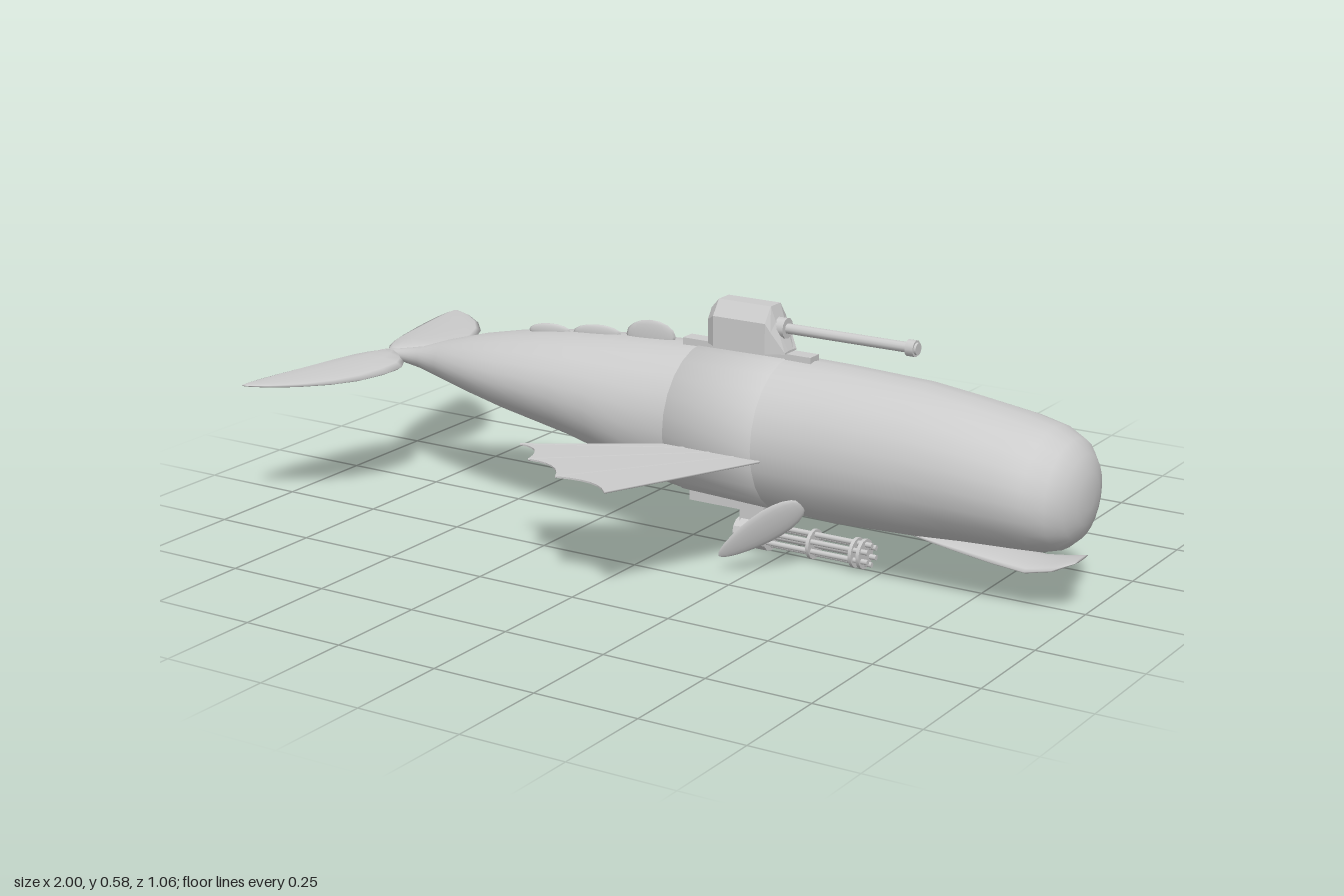
import * as THREE from 'three';

const grey = new THREE.MeshStandardMaterial({ color: 0xcccccc });
const greyFlat = new THREE.MeshStandardMaterial({ color: 0xcccccc, flatShading: true });
const greyThin = new THREE.MeshStandardMaterial({ color: 0xcccccc, side: THREE.DoubleSide });

// Skin a row of closed rings (arrays of [x, y, z]) and cap both ends
function loft(rings) {
  const n = rings[0].length, m = rings.length, pos = [], idx = [];
  rings.forEach(r => r.forEach(p => pos.push(...p)));
  for (let i = 0; i < m - 1; i++) for (let j = 0; j < n; j++) {
    const k = (j + 1) % n, a = i * n + j, b = i * n + k, c = b + n, d = a + n;
    idx.push(a, b, c, a, c, d);
  }
  [0, m - 1].forEach((row, end) => {
    const centre = pos.length / 3;
    pos.push(...[0, 1, 2].map(q => rings[row].reduce((s, p) => s + p[q], 0) / n));
    for (let j = 0; j < n; j++) {
      const a = row * n + j, b = row * n + (j + 1) % n;
      idx.push(centre, end ? a : b, end ? b : a);
    }
  });
  const g = new THREE.BufferGeometry();
  g.setAttribute('position', new THREE.Float32BufferAttribute(pos, 3));
  g.setIndex(idx);
  g.computeVertexNormals();
  return g;
}

// Elliptical ring across x, from [x, top, bottom, halfWidth]
function ring([x, top, bottom, w], sides, grow = 0) {
  return Array.from({ length: sides }, (_, j) => {
    const t = j / sides * Math.PI * 2;
    return [x, (top + bottom) / 2 + ((top - bottom) / 2 + grow) * Math.cos(t), (w + grow) * Math.sin(t)];
  });
}

// Copy of a geometry reflected to the other side, with its faces turned back out
function mirrorZ(geometry) {
  const g = geometry.clone().scale(1, 1, -1);
  const count = g.attributes.position.count;
  const idx = g.index ? Array.from(g.index.array) : Array.from({ length: count }, (_, i) => i);
  for (let i = 0; i < idx.length; i += 3) [idx[i], idx[i + 1]] = [idx[i + 1], idx[i]];
  g.setIndex(idx);
  return g;
}

export function createModel() {
  const model = new THREE.Group();
  model.name = 'armedWhale';

  function add(name, geometry, material = grey, x = 0, y = 0, z = 0) {
    const mesh = new THREE.Mesh(geometry, material);
    mesh.name = name;
    mesh.position.set(x, y, z);
    model.add(mesh);
    return mesh;
  }
  function addPair(name, geometry, material) {
    add('left' + name, mirrorZ(geometry), material);
    add('right' + name, geometry, material);
  }
  // Cylinder lying along x between two x positions
  function rod(name, x0, x1, y, z, r, sides = 12, material = grey) {
    const g = new THREE.CylinderGeometry(r, r, x1 - x0, sides).rotateZ(-Math.PI / 2);
    return add(name, g, material, (x0 + x1) / 2, y, z);
  }

  // Body: tail stock to blunt head
  const body = [
    [-0.91, 0.318, 0.304, 0.008], [-0.85, 0.328, 0.299, 0.018], [-0.78, 0.343, 0.289, 0.028],
    [-0.7, 0.372, 0.275, 0.064], [-0.6, 0.4, 0.256, 0.103], [-0.5, 0.421, 0.237, 0.13],
    [-0.4, 0.437, 0.22, 0.146], [-0.3, 0.448, 0.202, 0.157], [-0.2, 0.456, 0.176, 0.164],
    [-0.1, 0.462, 0.142, 0.169], [0.02, 0.467, 0.122, 0.171], [0.26, 0.469, 0.114, 0.171],
    [0.4, 0.467, 0.107, 0.17], [0.6, 0.459, 0.115, 0.169], [0.72, 0.444, 0.124, 0.169],
    [0.84, 0.426, 0.13, 0.168], [0.91, 0.41, 0.134, 0.16], [0.955, 0.388, 0.146, 0.137],
    [0.982, 0.358, 0.17, 0.1], [0.996, 0.32, 0.205, 0.058], [1, 0.288, 0.238, 0.024],
  ];
  add('body', loft(body.map(r => ring(r, 24))));

  // Slightly raised plate around the middle of the body
  add('bodyBand', loft([[0.025, 0.467, 0.122, 0.171], [0.255, 0.469, 0.114, 0.171]]
    .map(r => ring(r, 24, 0.002))));

  // Lower jaw
  add('lowerJaw', loft([
    [0.58, 0.118, 0.11, 0.022], [0.64, 0.117, 0.106, 0.04], [0.72, 0.114, 0.098, 0.052],
    [0.8, 0.11, 0.09, 0.061], [0.88, 0.106, 0.084, 0.065], [0.94, 0.116, 0.097, 0.056],
    [0.985, 0.128, 0.121, 0.034],
  ].map(r => ring(r, 12))));

  // Tail flukes: [z, rear x, front x, half thickness]
  const fluke = [
    [0.008, -0.895, -0.85, 0.012], [0.05, -0.922, -0.8, 0.017], [0.09, -0.94, -0.776, 0.017],
    [0.15, -0.957, -0.773, 0.015], [0.225, -0.974, -0.785, 0.012], [0.29, -0.987, -0.818, 0.009],
    [0.35, -0.996, -0.87, 0.006], [0.395, -1, -0.93, 0.004], [0.418, -0.998, -0.98, 0.002],
  ];
  addPair('Fluke', loft(fluke.map(([z, rear, front, h]) =>
    Array.from({ length: 10 }, (_, j) => {
      const t = j / 10 * Math.PI * 2;
      return [(rear + front) / 2 + (front - rear) / 2 * Math.cos(t), 0.313 + h * Math.sin(t), z];
    }))));

  // Webbed side fins with scalloped edges and thin ribs
  const tips = [[0.107, 0.53], [-0.043, 0.497], [-0.166, 0.425], [-0.246, 0.342]];
  const web = new THREE.Shape();
  web.moveTo(0.29, 0.14);
  web.lineTo(...tips[0]);
  for (let i = 1; i < tips.length; i++) {
    const [a, b] = [tips[i - 1], tips[i]];
    web.quadraticCurveTo((a[0] + b[0]) / 2 + 0.025, (a[1] + b[1]) / 2 - 0.045, ...b);
  }
  web.quadraticCurveTo(-0.17, 0.29, 0.04, 0.16);
  web.lineTo(0.06, 0.14);
  const webGeometry = new THREE.ExtrudeGeometry(web, { depth: 0.004, bevelEnabled: false, curveSegments: 6 })
    .rotateX(Math.PI / 2).translate(0, 0.272, 0);
  addPair('SideFin', webGeometry, greyThin);
  tips.forEach(([x, z], i) => {
    const path = new THREE.LineCurve3(
      new THREE.Vector3(0.28 - i * 0.06, 0.27, 0.16), new THREE.Vector3(x, 0.27, z));
    addPair('FinRib' + (i + 1), new THREE.TubeGeometry(path, 1, 0.0035, 6), grey);
  });

  // Leaf-shaped flippers under the belly, narrowing to the tip
  const along = new THREE.Vector3(-0.17, -0.13, 0.075).normalize();
  const across = new THREE.Vector3(-0.5, 0.6, 0.6);
  across.addScaledVector(along, -across.dot(along)).normalize();
  const normal = new THREE.Vector3().crossVectors(along, across);
  const leaf = new THREE.SphereGeometry(1, 16, 12).rotateZ(-Math.PI / 2);
  const lp = leaf.attributes.position;
  for (let i = 0; i < lp.count; i++) {
    const taper = 1 - 0.3 * lp.getX(i);
    lp.setXYZ(i, lp.getX(i) * 0.115, lp.getY(i) * 0.04 * taper, lp.getZ(i) * 0.009 * taper);
  }
  leaf.applyMatrix4(new THREE.Matrix4().makeBasis(along, across, normal)).translate(0.28, 0.11, 0.163);
  leaf.computeVertexNormals();
  addPair('Flipper', leaf);

  // Row of thin humps along the back
  [[-0.115, 0.466, 0.068, 0.037], [-0.265, 0.45, 0.068, 0.021], [-0.4, 0.437, 0.06, 0.018]]
    .forEach(([x, y, rx, ry], i) => {
      const hump = add('backHump' + (i + 1), new THREE.SphereGeometry(1, 14, 8), grey, x, y, 0);
      hump.scale.set(rx, ry, 0.007);
      hump.rotation.z = 0.08;
    });

  // Top gun: base plate, faceted turret and long barrel
  add('turretBase', new THREE.BoxGeometry(0.336, 0.024, 0.038), greyFlat, 0.152, 0.468, 0);
  const turretRing = (x, top, shoulder, w) => [
    [x, top, -w * 0.45], [x, top, w * 0.45], [x, shoulder, w],
    [x, 0.48, w], [x, 0.48, -w], [x, shoulder, -w],
  ];
  add('turret', loft([
    turretRing(0.058, 0.56, 0.535, 0.03), turretRing(0.082, 0.585, 0.55, 0.047),
    turretRing(0.218, 0.585, 0.55, 0.047), turretRing(0.23, 0.55, 0.53, 0.042),
    turretRing(0.258, 0.485, 0.483, 0.026),
  ]), greyFlat);
  rod('barrelCollar', 0.2, 0.25, 0.534, 0, 0.024);
  rod('barrel', 0.22, 0.57, 0.534, 0, 0.012);
  rod('muzzle', 0.555, 0.575, 0.534, 0, 0.019);
  rod('muzzleLip', 0.57, 0.58, 0.534, 0, 0.014);

  // Belly gun: mount, housing and a cluster of six barrels
  add('bellyMount', new THREE.BoxGeometry(0.2, 0.04, 0.034), greyFlat, 0.1, 0.112, 0);
  add('bellyGunNeck', new THREE.BoxGeometry(0.06, 0.05, 0.03), greyFlat, 0.165, 0.083, 0);
  rod('gunHousing', 0.14, 0.212, 0.038, 0, 0.037, 12, greyFlat);
  rod('gunHousingBack', 0.125, 0.15, 0.038, 0, 0.03, 12, greyFlat);
  for (let i = 0; i < 6; i++) {
    const t = i / 6 * Math.PI * 2;
    rod('gunBarrel' + (i + 1), 0.2, 0.475, 0.038 + 0.023 * Math.cos(t), 0.023 * Math.sin(t), 0.0065, 8);
  }
  rod('gunSpindle', 0.2, 0.45, 0.038, 0, 0.009, 8);
  [0.325, 0.435, 0.455].forEach((x, i) =>
    rod('barrelClamp' + (i + 1), x - 0.004, x + 0.004, 0.038, 0, 0.035, 16));

  return model;
}
